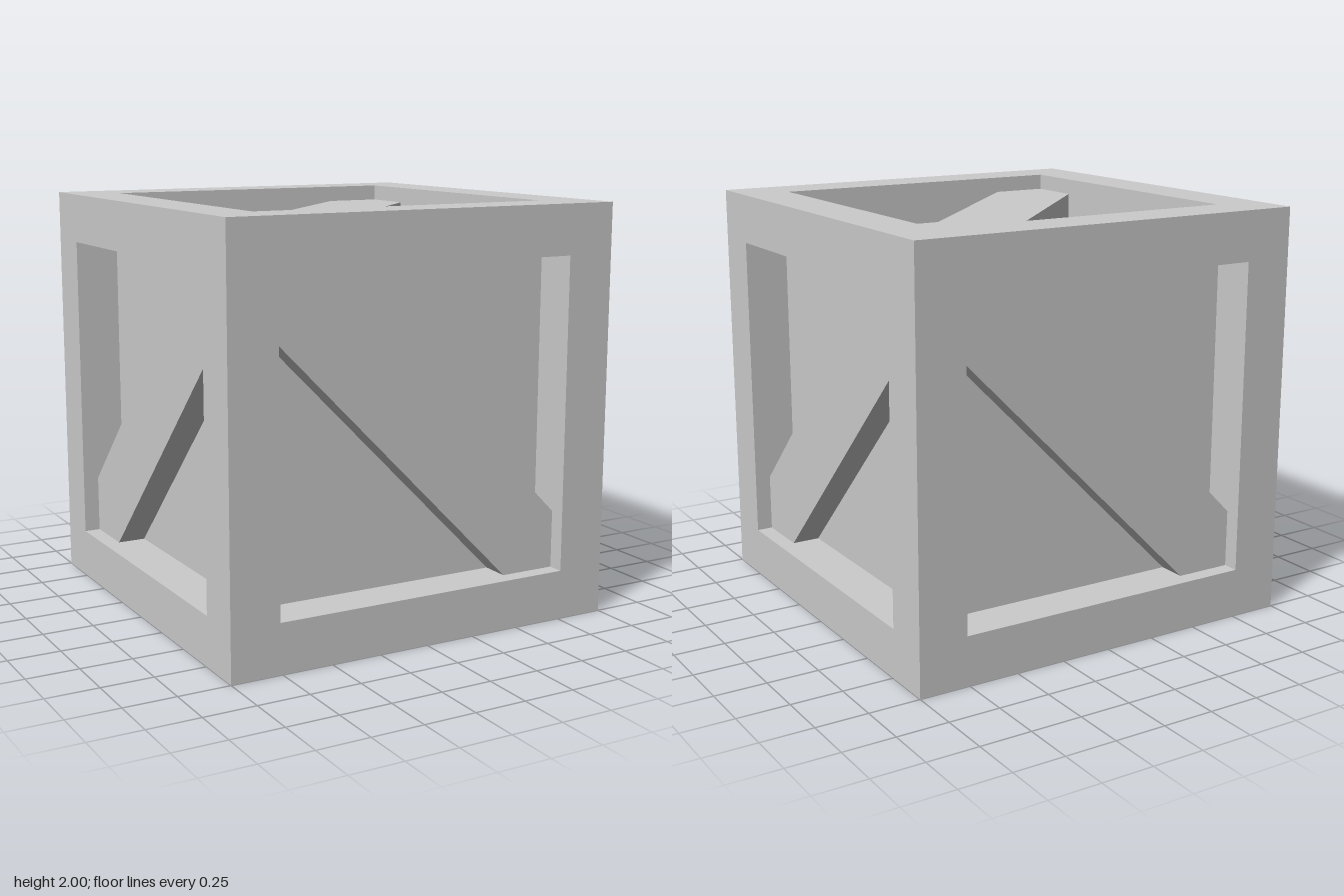
import * as THREE from 'three';

const OUTER = 1;      // half size of the crate
const INNER = 0.76;   // half size of the openings
const PANEL = 0.784;  // distance of the panels from the centre
const BRACE = 0.922;  // distance of the brace faces from the centre
const CUT = 0.48;     // where the brace edges meet the frame

const material = new THREE.MeshStandardMaterial({ color: 0xcccccc, flatShading: true });

function part(parent, name, geometry) {
  const mesh = new THREE.Mesh(geometry, material);
  mesh.name = name;
  parent.add(mesh);
  return mesh;
}

function polygon(points) {
  return new THREE.Shape(points.map(([x, y]) => new THREE.Vector2(x, y)));
}

function square(h) {
  return polygon([[-h, -h], [h, -h], [h, h], [-h, h]]);
}

export function createModel() {
  const crate = new THREE.Group();
  crate.name = 'crate';
  const body = new THREE.Group();
  body.name = 'crateBody';
  body.position.y = OUTER;
  crate.add(body);

  // Inner box forming the six recessed panels
  part(body, 'panels', new THREE.BoxGeometry(2 * PANEL, 2 * PANEL, 2 * PANEL));

  // Square frames at front and back
  const ring = square(OUTER);
  ring.holes.push(square(INNER));
  const width = OUTER - INNER;
  const ringGeometry = new THREE.ExtrudeGeometry(ring, { depth: width, bevelEnabled: false });
  part(body, 'frontFrame', ringGeometry).position.z = INNER;
  part(body, 'backFrame', ringGeometry).position.z = -OUTER;

  // Four corner beams joining the frames
  const beamGeometry = new THREE.BoxGeometry(width, width, 2 * INNER);
  const mid = (OUTER + INNER) / 2;
  for (const x of [-mid, mid]) {
    for (const y of [-mid, mid]) {
      part(body, 'cornerBeam', beamGeometry).position.set(x, y, 0);
    }
  }

  // Diagonal braces, one per face, with ends cut to fit the opening corners
  const braceGeometry = new THREE.ExtrudeGeometry(polygon([
    [-INNER, INNER], [-INNER, CUT], [CUT, -INNER],
    [INNER, -INNER], [INNER, -CUT], [-CUT, INNER],
  ]), { depth: BRACE - PANEL, bevelEnabled: false });
  braceGeometry.translate(0, 0, PANEL);

  const q = Math.PI / 2;
  const faces = [
    ['frontBrace', 0, 0, 0],
    ['backBrace', 0, 2 * q, 0],
    ['leftBrace', 0, q, q],
    ['rightBrace', 0, -q, q],
    ['topBrace', -q, 0, q],
    ['bottomBrace', q, 0, q],
  ];
  for (const [name, rx, ry, rz] of faces) {
    part(body, name, braceGeometry).rotation.set(rx, ry, rz);
  }

  return crate;
}
